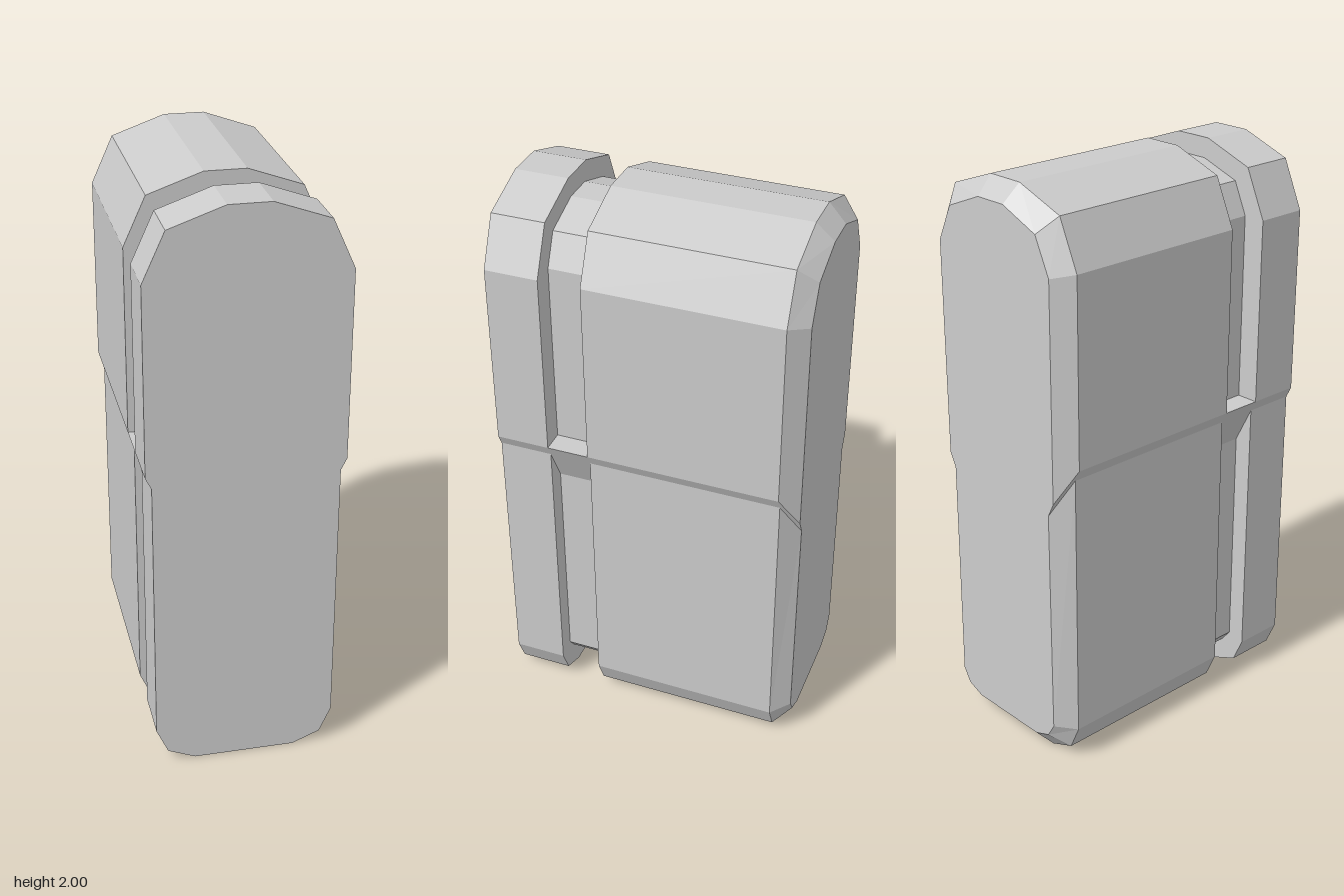
import * as THREE from 'three';

// Right halves of the cross-sections, bottom to top; matching points are joined
const body = [[0.175, 0], [0.27, 0.04], [0.31, 0.13], [0.31, 1.08], [0.33, 1.12], [0.33, 1.12], [0.33, 1.77], [0.255, 1.935], [0.07, 2]];
const groove = [[0.15, 0.08], [0.21, 0.1], [0.245, 0.145], [0.245, 0.95], [0.33, 1.12], [0.25, 1.12], [0.25, 1.77], [0.2, 1.88], [0.055, 1.93]];
const back = [[0.155, 0.065], [0.22, 0.09], [0.25, 0.14], [0.245, 0.95], [0.27, 1.0], [0.27, 1.0], [0.27, 1.755], [0.21, 1.88], [0.06, 1.94]];

// Full outline at depth z, counter-clockwise seen from the front
function section(half, z) {
  const right = half.map(([x, y]) => new THREE.Vector3(x, y, z));
  const left = half.map(([x, y]) => new THREE.Vector3(-x, y, z)).reverse();
  return [...right, ...left];
}

// Skin through the sections from front to back, with flat end caps
function loft(sections) {
  const points = [];
  const triangle = (a, b, c) => {
    if (new THREE.Triangle(a, b, c).getArea() > 1e-6) points.push(a, b, c);
  };
  const n = sections[0].length;
  for (let i = 0; i < sections.length - 1; i++) {
    for (let j = 0; j < n; j++) {
      const k = (j + 1) % n;
      const [s, t] = [sections[i], sections[i + 1]];
      triangle(s[j], t[j], t[k]);
      triangle(s[j], t[k], s[k]);
    }
  }
  const first = sections[0];
  const last = sections[sections.length - 1];
  const frontCentre = new THREE.Vector3(0, 1, first[0].z);
  const backCentre = new THREE.Vector3(0, 1, last[0].z);
  for (let j = 0; j < n; j++) {
    const k = (j + 1) % n;
    triangle(frontCentre, first[j], first[k]);
    triangle(backCentre, last[k], last[j]);
  }
  const geometry = new THREE.BufferGeometry().setFromPoints(points);
  geometry.computeVertexNormals();
  return geometry;
}

export function createModel() {
  const group = new THREE.Group();
  group.name = 'groovedBlock';
  // Front plate, recessed groove, main body and bevelled back as one skin
  const geometry = loft([
    section(body, 0.53),
    section(body, 0.345),
    section(groove, 0.345),
    section(groove, 0.2),
    section(body, 0.2),
    section(body, -0.47),
    section(back, -0.53),
  ]);
  const material = new THREE.MeshStandardMaterial({ color: 0xcccccc, flatShading: true });
  const mesh = new THREE.Mesh(geometry, material);
  mesh.name = 'body';
  group.add(mesh);
  return group;
}
